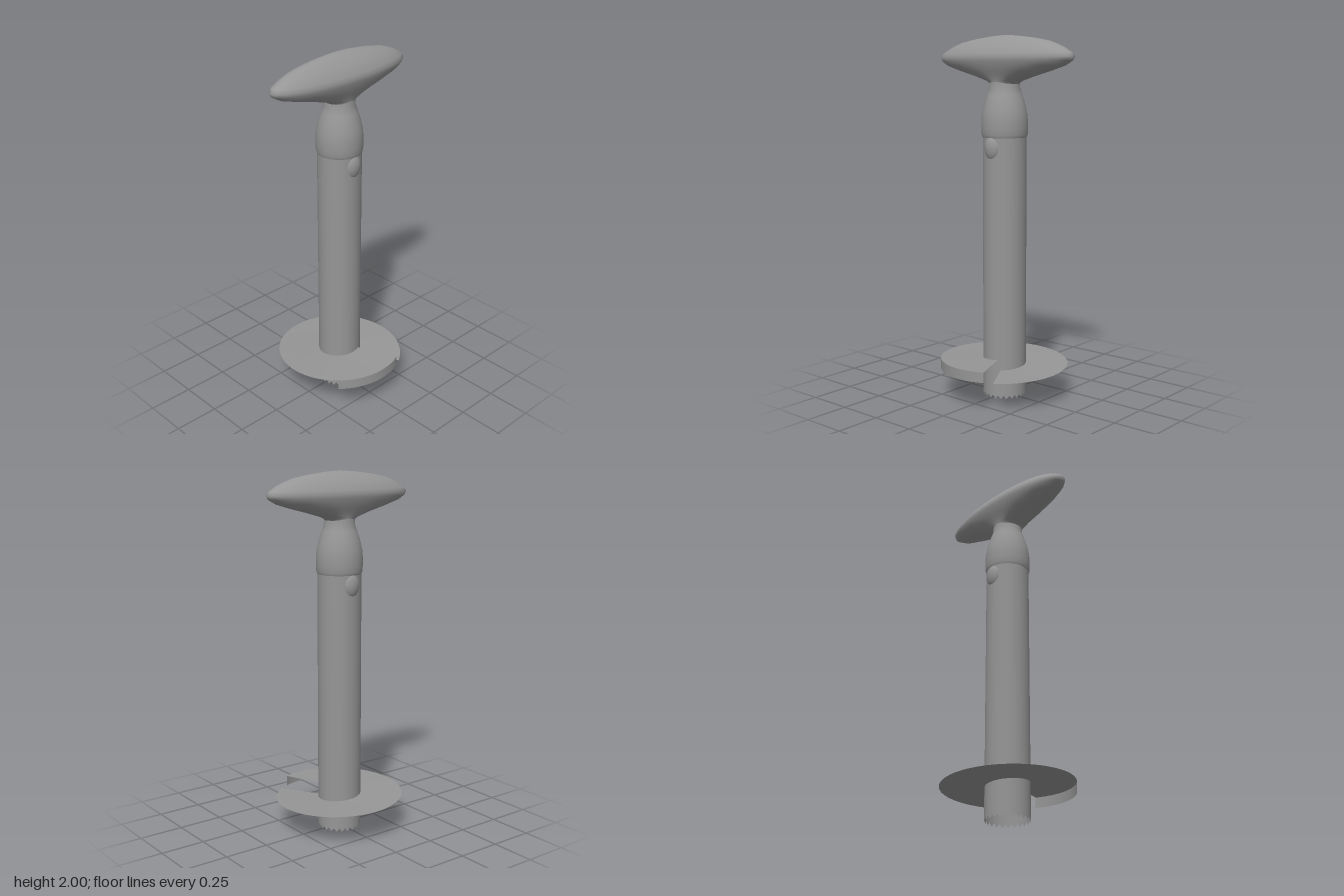
import * as THREE from 'three';
import { mergeVertices } from 'three/addons/utils/BufferGeometryUtils.js';

// Surface from a rule: point(u, v) on a grid of nu x nv cells.
function surface(nu, nv, point) {
  const pos = [], index = [];
  for (let j = 0; j <= nv; j++)
    for (let i = 0; i <= nu; i++) pos.push(...point(i / nu, j / nv));
  for (let j = 0; j < nv; j++)
    for (let i = 0; i < nu; i++) {
      const a = j * (nu + 1) + i, c = a + nu + 1;
      index.push(a, a + 1, c, a + 1, c + 1, c);
    }
  const geo = new THREE.BufferGeometry();
  geo.setAttribute('position', new THREE.Float32BufferAttribute(pos, 3));
  geo.setIndex(index);
  const welded = mergeVertices(geo, 1e-5);
  welded.computeVertexNormals();
  return welded;
}

export function createModel() {
  const model = new THREE.Group();
  model.name = 'augerTool';
  const grey = new THREE.MeshStandardMaterial({ color: 0x969696, side: THREE.DoubleSide });
  grey.name = 'grey';
  const add = (name, geo, x = 0, y = 0, z = 0) => {
    const mesh = new THREE.Mesh(geo, grey);
    mesh.name = name;
    mesh.position.set(x, y, z);
    model.add(mesh);
    return mesh;
  };
  const axisZ = -0.003;

  // Hollow shaft with a saw-toothed lower rim
  const shaftHeight = 1.46, teeth = 24;
  const shaft = new THREE.CylinderGeometry(0.12, 0.12, shaftHeight, teeth * 2, 1, true);
  const p = shaft.attributes.position;
  for (let i = 0; i <= teeth * 2; i++)
    if (i % 2) p.setY(teeth * 2 + 1 + i, -shaftHeight / 2 + 0.02);
  add('shaft', shaft, 0, shaftHeight / 2, axisZ);

  // Swollen collar narrowing to the neck
  const collar = [
    [0.12, 1.45], [0.126, 1.465], [0.127, 1.5], [0.127, 1.54], [0.123, 1.58],
    [0.112, 1.63], [0.096, 1.68], [0.085, 1.71], [0.082, 1.75],
  ].map(([r, y]) => new THREE.Vector2(r, y));
  add('collar', new THREE.LatheGeometry(collar, 48), 0, 0, axisZ);

  // Wide handle: stacked ellipses [y, half width, half depth]
  const rings = [
    [1.735, 0.08, 0.08], [1.745, 0.088, 0.081], [1.755, 0.11, 0.083], [1.78, 0.2, 0.09],
    [1.805, 0.3, 0.103], [1.835, 0.405, 0.115], [1.86, 0.45, 0.122], [1.88, 0.46, 0.125],
    [1.9, 0.447, 0.117], [1.925, 0.405, 0.101], [1.945, 0.36, 0.084], [1.963, 0.305, 0.063],
    [1.98, 0.21, 0.042], [1.993, 0.1, 0.02], [2, 0, 0],
  ];
  add('handle', surface(64, rings.length - 1, (u, v) => {
    const [y, a, b] = rings[Math.round(v * (rings.length - 1))];
    const t = (u % 1) * Math.PI * 2;
    return [a * Math.sin(t), y, b * Math.cos(t)];
  }), 0, 0, axisZ);

  // Rounded buttons on the front and back of the shaft
  for (const [name, side] of [['frontButton', 1], ['backButton', -1]]) {
    const button = add(name, new THREE.SphereGeometry(1, 24, 16), 0, 1.395, axisZ + side * 0.1);
    button.scale.set(0.05, 0.07, 0.034);
  }

  // Spiral blade: one turn, rising from the slot at the front right round the back
  const start = THREE.MathUtils.degToRad(30.5), end = THREE.MathUtils.degToRad(382.2);
  const radius = 0.357;
  const height = t => 0.165 + 0.059 * (t - start) / (end - start);
  add('spiralBlade', surface(96, 1, (u, v) => {
    const t = start + u * (end - start), r = v ? 0.115 : radius;
    return [r * Math.sin(t), height(t), r * Math.cos(t)];
  }));

  // Skirt hanging from the raised end of the blade
  const skirtStart = THREE.MathUtils.degToRad(315);
  add('bladeSkirt', surface(24, 1, (u, v) => {
    const t = skirtStart + u * (end - skirtStart);
    return [radius * Math.sin(t), height(t) - 0.058 * (1 - v), radius * Math.cos(t)];
  }));

  return model;
}
